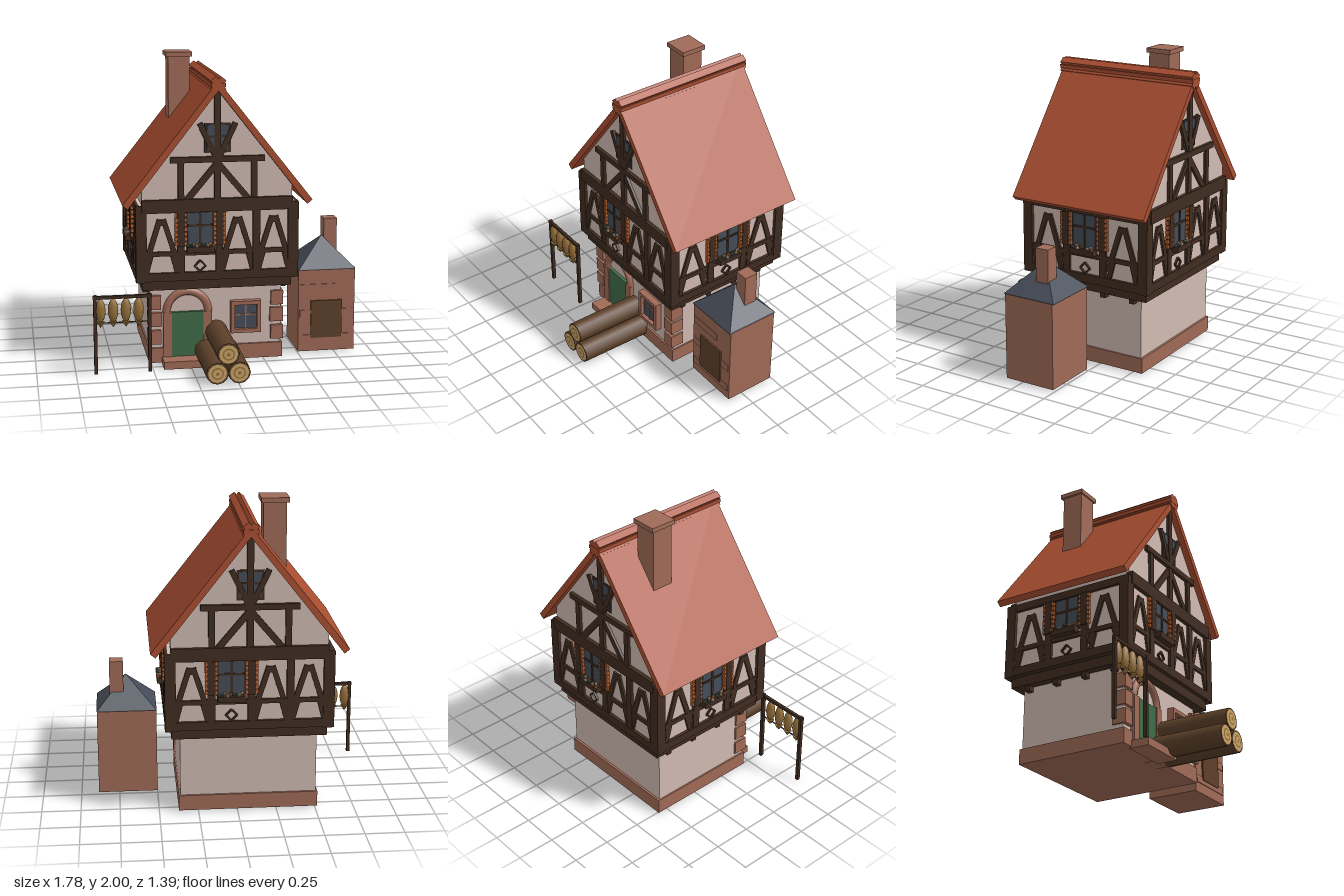
import * as THREE from 'three';

const paint = (name, color) => {
  const m = new THREE.MeshStandardMaterial({ color });
  m.name = name;
  return m;
};
const plaster = paint('plaster', 0xd0bab2), brick = paint('brick', 0xa06a57);
const timber = paint('timber', 0x402c21), roofTile = paint('roofTile', 0xa94e31);
const slate = paint('slate', 0x454c57), shutterPaint = paint('shutterPaint', 0xc0642f);
const doorPaint = paint('doorPaint', 0x3f6b48), bark = paint('bark', 0x5c4029);
const cutWood = paint('cutWood', 0xc9a468), driedFish = paint('driedFish', 0x96703a);

function add(parent, name, geo, mat, x = 0, y = 0, z = 0) {
  const m = new THREE.Mesh(geo, mat);
  m.name = name;
  m.position.set(x, y, z);
  parent.add(m);
  return m;
}
// Box given by its low and high limits on each axis
function box(parent, name, mat, x0, x1, y0, y1, z0, z1) {
  return add(parent, name, new THREE.BoxGeometry(x1 - x0, y1 - y0, z1 - z0), mat,
    (x0 + x1) / 2, (y0 + y1) / 2, (z0 + z1) / 2);
}
// Slanted timber lying in the plane of a wall
function brace(parent, x0, y0, x1, y1, w = 0.04, depth = 0.018) {
  const len = Math.hypot(x1 - x0, y1 - y0);
  const m = add(parent, 'brace', new THREE.BoxGeometry(w, len, depth), timber, (x0 + x1) / 2, (y0 + y1) / 2, 0.004);
  m.rotation.z = -Math.atan2(x1 - x0, y1 - y0);
}
function group(parent, name, x = 0, y = 0, z = 0) {
  const g = new THREE.Group();
  g.name = name;
  g.position.set(x, y, z);
  parent.add(g);
  return g;
}

// Window with shutters, flower box and a diamond below, on a wall at z = 0
function wallWindow(parent, cx, reach) {
  const g = group(parent, 'wallWindow', cx, 0, 0);
  box(g, 'windowFrame', timber, -0.095, 0.095, 0.8, 1.04, -0.01, 0.008);
  box(g, 'glass', slate, -0.08, 0.08, 0.81, 1.025, 0, 0.012);
  box(g, 'mullion', timber, -0.007, 0.007, 0.81, 1.025, 0, 0.018);
  box(g, 'glazingBar', timber, -0.08, 0.08, 0.935, 0.949, 0, 0.018);
  for (const s of [-1, 1]) {
    const x = s * reach;
    for (let i = 0; i < 7; i++)
      box(g, 'shutterSlat', shutterPaint, x - 0.04, x + 0.04, 0.815 + i * 0.031, 0.838 + i * 0.031, 0.005, 0.026);
    box(g, 'shutterPanel', timber, x - 0.024, x + 0.024, 0.81, 1.03, 0.005, 0.03);
  }
  box(g, 'flowerBox', timber, -0.088, 0.088, 0.77, 0.808, 0, 0.056);
  const flowers = [doorPaint, cutWood, shutterPaint, slate, plaster];
  for (let i = 0; i < 10; i++)
    add(g, 'flower', new THREE.IcosahedronGeometry(0.012, 0), flowers[(i * 3) % 5],
      -0.08 + i * 0.0178, 0.814 + (i % 3) * 0.005, 0.035 + (i % 2) * 0.015);
  const d = 0.036;
  for (const s of [-1, 1]) {
    brace(g, 0, 0.672 + d, s * d, 0.672, 0.011);
    brace(g, s * d, 0.672, 0, 0.672 - d, 0.011);
  }
}

// Half-timbered wall; z = 0 is the face of the plaster
function timberWall(parent, name, half, posts, bays, windowX, reach) {
  const g = group(parent, name);
  box(g, 'sillBeam', timber, -half, half, 0.58, 0.635, -0.02, 0.02);
  box(g, 'middleRail', timber, -half, half, 0.745, 0.775, -0.02, 0.014);
  box(g, 'topBeam', timber, -half, half, 1.03, 1.08, -0.02, 0.02);
  for (const x of posts) box(g, 'post', timber, x - 0.024, x + 0.024, 0.6, 1.05, -0.02, 0.018);
  for (const x of bays) {
    box(g, 'braceHead', timber, x - 0.022, x + 0.022, 0.945, 0.985, -0.01, 0.013);
    for (const s of [-1, 1]) brace(g, x + s * 0.012, 0.985, x + s * 0.108, 0.68, 0.034);
    for (const s of [-1, 1]) brace(g, x + s * 0.07, 0.745, x + s * 0.1, 0.63, 0.03);
  }
  wallWindow(g, windowX, reach);
  return g;
}

// Timbers and attic window of a gable
function gableFrame(g) {
  box(g, 'gableBeam', timber, -0.49, 0.49, 1.03, 1.115, -0.02, 0.026);
  box(g, 'collarBeam', timber, -0.305, 0.305, 1.35, 1.387, -0.02, 0.024);
  box(g, 'kingPost', timber, -0.021, 0.021, 1.1, 1.8, -0.02, 0.02);
  box(g, 'atticFrame', timber, -0.085, 0.085, 1.41, 1.6, -0.02, 0.006);
  box(g, 'atticGlass', slate, -0.07, 0.07, 1.43, 1.59, 0, 0.011);
  box(g, 'atticBar', timber, -0.07, 0.07, 1.51, 1.522, 0, 0.015);
  for (const s of [-1, 1]) {
    box(g, 'gablePost', timber, s * 0.237 - 0.02, s * 0.237 + 0.02, 1.1, 1.36, -0.02, 0.018);
    brace(g, 0, 1.345, s * 0.205, 1.1, 0.04, 0.024);
    brace(g, 0, 1.36, s * 0.115, 1.6, 0.036, 0.028);
  }
}

function extrudeProfile(points, depth) {
  const shape = new THREE.Shape(points.map(([x, y]) => new THREE.Vector2(x, y)));
  return new THREE.ExtrudeGeometry(shape, { depth, bevelEnabled: false }).translate(0, 0, -depth / 2);
}

function buildHouse(root) {
  const h = group(root, 'house', -0.07, 0, -0.19);
  // Ground floor
  box(h, 'plinth', brick, -0.445, 0.445, 0.01, 0.11, -0.385, 0.385);
  box(h, 'groundWalls', plaster, -0.435, 0.435, 0.1, 0.53, -0.37, 0.37);
  for (const s of [-1, 1])
    for (const [i, y] of [0.185, 0.305, 0.42].entries()) {
      const w = i % 2 ? 0.088 : 0.082;
      const x = s * 0.447;
      box(h, 'cornerStone', brick, Math.min(x, x - s * w), Math.max(x, x - s * w), y - 0.047, y + 0.047, 0.3, 0.395);
    }
  // Jetty
  box(h, 'jettyBeam', timber, -0.49, 0.49, 0.515, 0.59, -0.435, 0.435);
  for (const z of [0.32, 0.107, -0.107, -0.32])
    box(h, 'joist', timber, -0.475, 0.475, 0.48, 0.52, z - 0.018, z + 0.018);
  // Upper floor
  box(h, 'upperWalls', plaster, -0.508, 0.508, 0.585, 1.08, -0.443, 0.443);
  for (const x of [-0.495, 0.495])
    for (const z of [-0.43, 0.43])
      box(h, 'cornerPost', timber, x - 0.035, x + 0.035, 0.575, 1.075, z - 0.033, z + 0.033);
  for (const s of [1, -1]) {
    const front = timberWall(h, 'gableWall', 0.525, [-0.24, 0.01, 0.253], [-0.363, 0.131, 0.368], -0.115, 0.125);
    front.position.z = s * 0.443;
    front.rotation.y = s > 0 ? 0 : Math.PI;
    gableFrame(front);
    const side = timberWall(h, 'sideWall', 0.46, [-0.135, 0.135], [-0.28, 0.28], 0, 0.135);
    side.position.x = s * 0.508;
    side.rotation.y = s * Math.PI / 2;
  }
  // Gable, roof and ridge
  add(h, 'gablePlaster', extrudeProfile([[-0.488, 1.07], [0.488, 1.07], [0.488, 1.2], [0, 1.83], [-0.488, 1.2]], 0.886), plaster);
  add(h, 'roof', extrudeProfile([[0, 1.87], [-0.615, 1.092], [-0.582, 1.065], [0, 1.808], [0.582, 1.065], [0.615, 1.092]], 0.97), roofTile);
  for (const a of [0.91, -0.91]) {
    const m = add(h, 'ridgeTile', new THREE.BoxGeometry(0.105, 0.045, 0.985), roofTile, 0, 1.845, 0);
    m.rotation.z = a;
  }
  box(h, 'ridgeCore', roofTile, -0.047, 0.047, 1.832, 1.856, -0.495, 0.495);
  // Chimney
  box(h, 'chimney', brick, -0.245, -0.1, 1.4, 1.975, -0.24, -0.095);
  box(h, 'chimneyCap', brick, -0.26, -0.085, 1.97, 2, -0.257, -0.083);
}

function buildEntrance(root) {
  const g = group(root, 'entrance', -0.26, 0, 0.18);
  box(g, 'doorStep', brick, -0.17, 0.16, 0, 0.05, 0, 0.135);
  box(g, 'door', doorPaint, -0.107, 0.107, 0.045, 0.35, 0, 0.022);
  for (const s of [-1, 1]) box(g, 'doorJamb', brick, s * 0.133 - 0.028, s * 0.133 + 0.028, 0.045, 0.35, 0, 0.03);
  add(g, 'doorArch', new THREE.TorusGeometry(0.137, 0.026, 8, 24, Math.PI), brick, 0, 0.35, 0.008);
  // Ground floor window
  const w = group(root, 'groundWindow', 0.125, 0.303, 0.18);
  for (const s of [-1, 1]) {
    box(w, 'frameSide', brick, s * 0.087 - 0.013, s * 0.087 + 0.013, -0.108, 0.108, -0.01, 0.045);
    box(w, 'frameRail', brick, -0.1, 0.1, s * 0.095 - 0.013, s * 0.095 + 0.013, -0.01, 0.045);
  }
  box(w, 'glass', slate, -0.08, 0.08, -0.09, 0.09, 0, 0.02);
  box(w, 'mullion', brick, -0.004, 0.004, -0.09, 0.09, 0, 0.027);
  box(w, 'glazingBar', brick, -0.08, 0.08, 0.008, 0.016, 0, 0.027);
}

function buildOven(root) {
  const g = group(root, 'oven', 0.693, 0, -0.062);
  box(g, 'ovenBody', brick, -0.193, 0.193, 0.01, 0.578, -0.177, 0.177);
  const cap = new THREE.ConeGeometry(Math.SQRT1_2, 1, 4, 1).rotateY(Math.PI / 4).scale(0.39, 0.195, 0.374).toNonIndexed();
  cap.computeVertexNormals();
  add(g, 'ovenRoof', cap, slate, 0, 0.6725, 0);
  box(g, 'ovenChimney', brick, 0.017, 0.107, 0.6, 0.883, -0.09, 0.002);
  box(g, 'ovenDoor', bark, -0.108, 0.104, 0.103, 0.362, 0.17, 0.188);
  for (const [x1, y] of [[0.055, 0.45], [0.178, 0.273], [0.178, 0.1]])
    box(g, 'ovenBrick', brick, -0.183, x1, y - 0.025, y + 0.025, 0.17, 0.183);
}

function buildLogs(root) {
  const pile = group(root, 'logPile');
  for (const [x, y] of [[-0.07, 0.206], [-0.14, 0.083], [0, 0.083]]) {
    const log = group(pile, 'log', x, y, 0.4);
    add(log, 'logBark', new THREE.CylinderGeometry(0.071, 0.075, 0.57, 12).rotateX(Math.PI / 2), bark);
    for (const [r, mat, z] of [[0.06, cutWood, 0.286], [0.04, driedFish, 0.288], [0.03, cutWood, 0.29], [0.012, driedFish, 0.292]])
      add(log, 'growthRing', new THREE.CircleGeometry(r, 12), mat, 0, 0, z);
  }
}

function buildFishRack(root) {
  const g = group(root, 'fishRack', 0, 0, 0.353);
  for (const x of [-0.874, -0.526]) box(g, 'rackPost', timber, x - 0.011, x + 0.011, 0.01, 0.53, -0.011, 0.011);
  box(g, 'rackBar', timber, -0.888, -0.51, 0.505, 0.525, -0.01, 0.01);
  box(g, 'rackCord', timber, -0.874, -0.526, 0.344, 0.35, -0.003, 0.003);
  for (let i = 0; i < 4; i++) {
    const x = -0.84 + i * 0.081;
    add(g, 'fishBody', new THREE.SphereGeometry(1, 8, 8).scale(0.033, 0.078, 0.028), driedFish, x, 0.428, 0);
    add(g, 'fishTail', new THREE.ConeGeometry(0.028, 0.04, 6).rotateX(Math.PI), driedFish, x, 0.336, 0);
  }
}

export function createModel() {
  const root = new THREE.Group();
  root.name = 'timberHouse';
  buildHouse(root);
  buildEntrance(root);
  buildOven(root);
  buildLogs(root);
  buildFishRack(root);
  return root;
}
